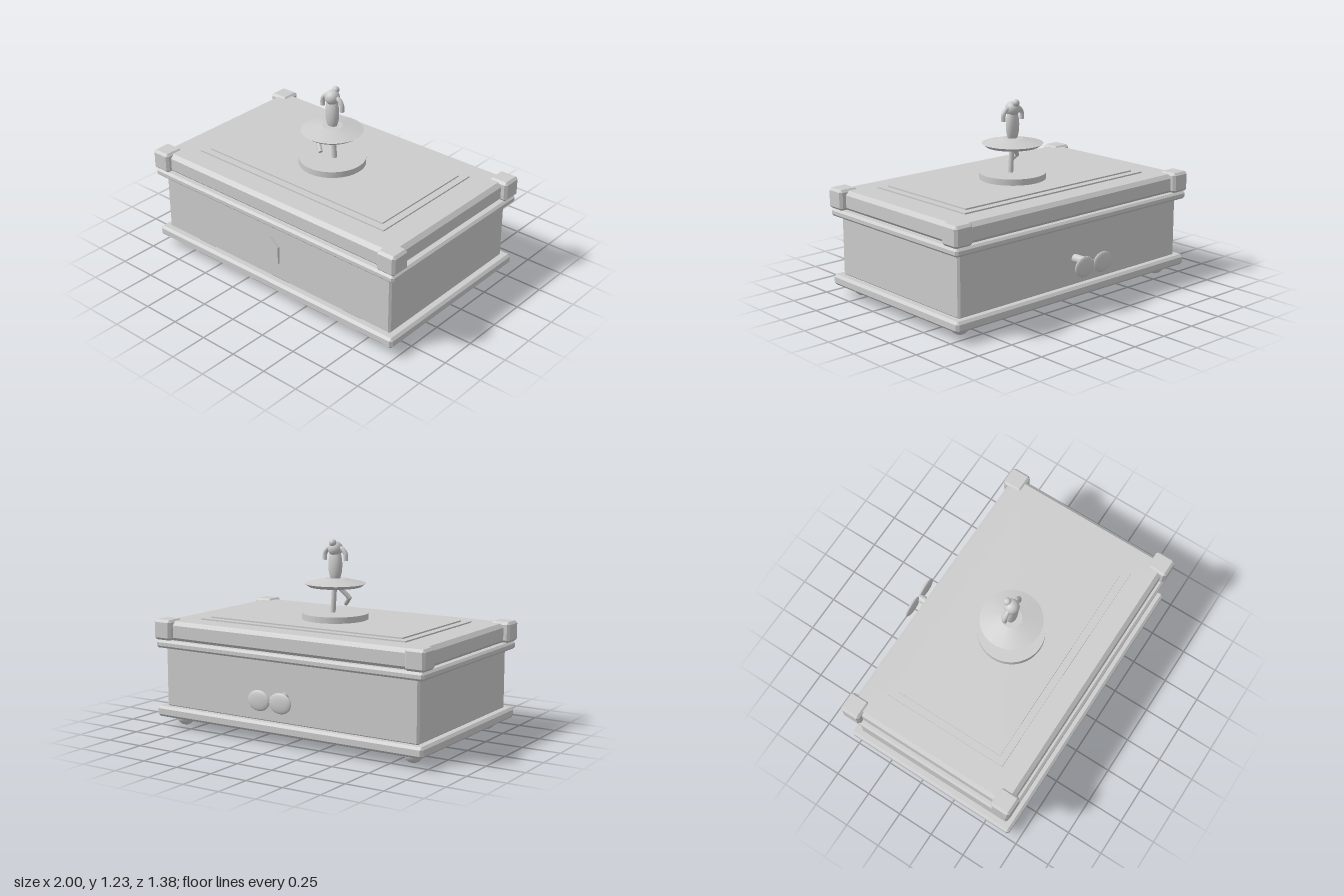
import * as THREE from 'three';
import { ConvexGeometry } from 'three/addons/geometries/ConvexGeometry.js';
import { toCreasedNormals } from 'three/addons/utils/BufferGeometryUtils.js';

// Box with all edges chamfered, given half width, bottom, top, half depth
function chamferBox(hx, y0, y1, hz, c) {
  const pts = [], hy = (y1 - y0) / 2, my = (y0 + y1) / 2;
  for (const sx of [-1, 1]) for (const sy of [-1, 1]) for (const sz of [-1, 1]) {
    pts.push(
      new THREE.Vector3(sx * hx, my + sy * (hy - c), sz * (hz - c)),
      new THREE.Vector3(sx * (hx - c), my + sy * hy, sz * (hz - c)),
      new THREE.Vector3(sx * (hx - c), my + sy * (hy - c), sz * hz));
  }
  return new ConvexGeometry(pts);
}

const V = (x, y, z) => new THREE.Vector3(x, y, z);

export function createModel() {
  const grey = new THREE.MeshStandardMaterial({ color: 0xcccccc });
  grey.name = 'plain grey';
  const model = new THREE.Group();
  model.name = 'musicBox';
  // The box sits forward so that the rear key is inside the centred depth
  const box = new THREE.Group();
  box.name = 'boxAndDancer';
  box.position.z = 0.065;
  model.add(box);

  const add = (name, geometry, x = 0, y = 0, z = 0) => {
    const mesh = new THREE.Mesh(geometry, grey);
    mesh.name = name;
    mesh.position.set(x, y, z);
    box.add(mesh);
    return mesh;
  };
  const ball = (name, r, x, y, z) => add(name, new THREE.SphereGeometry(r, 24, 16), x, y, z);
  // Straight limb between two points
  const limb = (name, a, b, r0, r1) => {
    const d = b.clone().sub(a);
    const mesh = add(name, new THREE.CylinderGeometry(r1, r0, d.length(), 14));
    mesh.position.copy(a).add(b).multiplyScalar(0.5);
    mesh.quaternion.setFromUnitVectors(V(0, 1, 0), d.normalize());
  };

  // Case
  add('baseMoulding', chamferBox(0.99, 0.067, 0.137, 0.619, 0.016));
  add('body', chamferBox(0.94, 0.13, 0.54, 0.573, 0.013));
  add('upperMoulding', chamferBox(0.99, 0.524, 0.575, 0.619, 0.014));
  add('lid', chamferBox(0.96, 0.57, 0.7, 0.592, 0.025));

  // Feet and lid corner caps
  for (const sx of [-1, 1]) for (const sz of [-1, 1]) {
    ball('foot', 0.06, sx * 0.857, 0.06, sz * 0.481);
    add('cornerCap', chamferBox(0.068, 0.577, 0.71, 0.068, 0.016), sx * 0.932, 0, sz * 0.557);
  }

  // Stepped lid panel
  add('lidPanel', new THREE.BoxGeometry(1.526, 0.02, 0.85), 0, 0.699, 0);
  add('lidInnerPanel', new THREE.BoxGeometry(1.43, 0.02, 0.754), 0, 0.708, 0);

  // Lock plate on the front
  const plate = new THREE.Shape();
  plate.moveTo(-0.063, 0.257);
  plate.lineTo(0.063, 0.257);
  plate.lineTo(0.063, 0.375);
  plate.lineTo(0, 0.433);
  plate.lineTo(-0.063, 0.375);
  plate.closePath();
  add('lockPlate', new THREE.ExtrudeGeometry(plate, { depth: 0.024, bevelEnabled: false }), 0, 0, 0.565);

  // Winding key on the back
  const shaft = add('keyShaft', new THREE.CylinderGeometry(0.028, 0.028, 0.18, 20), 0, 0.307, -0.645);
  shaft.rotation.x = Math.PI / 2;
  for (const s of [-1, 1]) {
    ball('keyWing', 1, s * 0.079, 0.307, -0.736).scale.set(0.08, 0.065, 0.017);
  }

  // Turntable
  add('turntable', new THREE.CylinderGeometry(0.215, 0.215, 0.05, 48), 0, 0.733, 0);

  // Dancer: legs
  limb('standingLeg', V(0.018, 0.75, 0), V(0.004, 0.95, 0), 0.017, 0.016);
  limb('raisedThigh', V(-0.005, 0.945, 0), V(-0.079, 0.853, 0.045), 0.017, 0.015);
  limb('raisedShin', V(-0.079, 0.853, 0.045), V(-0.032, 0.807, 0.077), 0.015, 0.014);
  ball('raisedKnee', 0.015, -0.079, 0.853, 0.045);

  // Dancer: skirt
  const skirt = [[0, 0.927], [0.17, 0.927], [0.198, 0.948], [0.066, 0.98], [0, 0.98]]
    .map(([x, y]) => new THREE.Vector2(x, y));
  add('skirt', toCreasedNormals(new THREE.LatheGeometry(skirt, 48), 0.15));

  // Dancer: torso, head and bun
  ball('torso', 1, 0, 1.065, 0).scale.set(0.048, 0.118, 0.037);
  ball('head', 0.048, 0, 1.17, 0);
  ball('hairBun', 0.024, 0, 1.21, -0.032);

  // Dancer: curved arms
  for (const s of [-1, 1]) {
    const path = new THREE.CatmullRomCurve3([
      V(s * 0.02, 1.178, 0), V(s * 0.052, 1.17, 0), V(s * 0.077, 1.14, 0), V(s * 0.08, 1.095, 0)]);
    add('arm', new THREE.TubeGeometry(path, 16, 0.015, 10));
    const hand = add('hand', new THREE.CircleGeometry(0.015, 10), s * 0.08, 1.095, 0);
    hand.rotation.x = Math.PI / 2;
  }
  return model;
}
